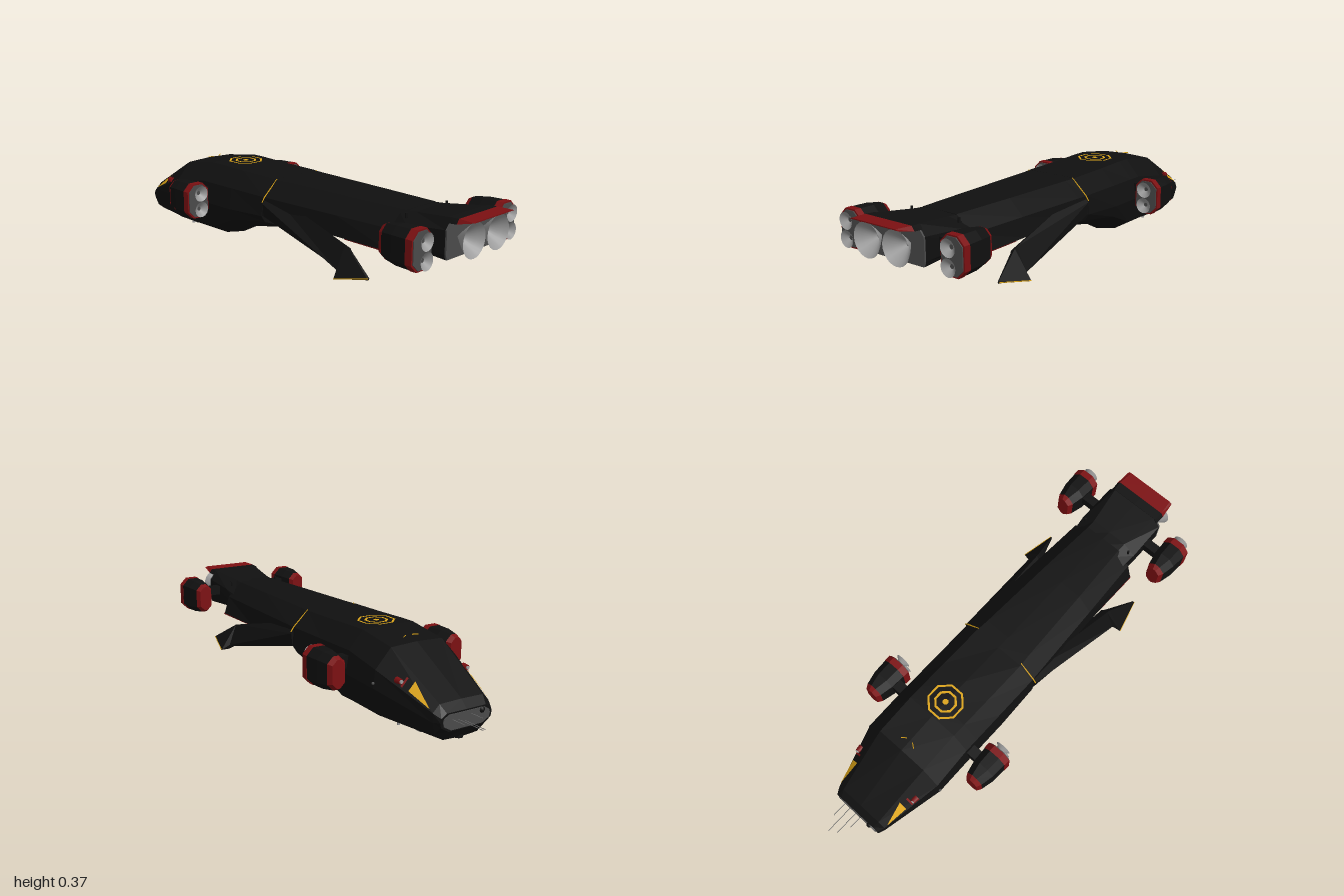
import * as THREE from 'three';

const V = (x, y, z) => new THREE.Vector3(x, y, z);
const mat = (name, color, double) => {
  const m = new THREE.MeshStandardMaterial({ color });
  m.name = name;
  if (double) m.side = THREE.DoubleSide;
  return m;
};

// Flat-faced skin through rings of points (clockwise seen from +z, z increasing)
function loft(rings, closed = true) {
  const p = [];
  const tri = (...v) => v.forEach(q => p.push(q.x, q.y, q.z));
  const n = rings[0].length;
  for (let i = 0; i < rings.length - 1; i++) {
    for (let j = 0; j < (closed ? n : n - 1); j++) {
      const k = (j + 1) % n, a = rings[i], b = rings[i + 1];
      tri(a[j], b[j], a[k]);
      tri(a[k], b[j], b[k]);
    }
  }
  if (closed) {
    const a = rings[0], b = rings[rings.length - 1];
    for (let j = 1; j < n - 1; j++) {
      tri(a[0], a[j], a[j + 1]);
      tri(b[0], b[j + 1], b[j]);
    }
  }
  const g = new THREE.BufferGeometry();
  g.setAttribute('position', new THREE.Float32BufferAttribute(p, 3));
  g.computeVertexNormals();
  return g;
}

// Full symmetric ring from a right half, listed from top centre to bottom centre
function ring(z, half) {
  const left = half.slice(1, -1).reverse().map(([x, y]) => [-x, y]);
  return [...half, ...left].map(([x, y]) => V(x, y, z));
}

const octagon = (z, w, h, c) => ring(z, [[0, h], [w - c, h], [w, h - c], [w, c - h], [w - c, -h], [0, -h]]);

export function createModel() {
  const ship = new THREE.Group();
  const black = mat('hullBlack', 0x101010);
  const red = mat('trimRed', 0x7c1012, true);
  const yellow = mat('markingYellow', 0xdca416, true);
  const steel = mat('nozzleSteel', 0x9a9a9a, true);
  const grey = mat('plateGrey', 0x4a4a4a);
  const bayGrey = mat('bayGrey', 0x777777, true);

  const add = (name, geo, m, parent = ship, x = 0, y = 0, z = 0) => {
    const mesh = new THREE.Mesh(geo, m);
    mesh.name = name;
    mesh.position.set(x, y, z);
    parent.add(mesh);
    return mesh;
  };
  const bar = (name, a, b, r, m) =>
    add(name, new THREE.TubeGeometry(new THREE.LineCurve3(a, b), 1, r, 4), m);
  const panel = (name, pts, m) => {
    const half = pts.length === 3 ? [pts[0], pts[1], pts[2], pts[2]] : pts;
    return add(name, loft([[half[0], half[1]], [half[3], half[2]]], false), m);
  };
  const bell = (r, depth) => {
    const pts = [[0.004, 0], [r * 0.35, depth * 0.28], [r * 0.75, depth * 0.7], [r, depth]];
    return new THREE.LatheGeometry(pts.map(q => new THREE.Vector2(...q)), 24).rotateX(Math.PI / 2);
  };

  // Forward hull
  const snout = [[0, 0.18], [0.1, 0.178], [0.13, 0.15], [0.13, 0.115], [0.12, 0.07], [0.08, 0.04], [0, 0.035]];
  const brow = [[0, 0.33], [0.12, 0.325], [0.19, 0.25], [0.2, 0.18], [0.17, 0.07], [0.1, 0.035], [0, 0.018]];
  const mid = [[0, 0.355], [0.12, 0.352], [0.185, 0.28], [0.2, 0.19], [0.175, 0.08], [0.1, 0.035], [0, 0.018]];
  const nose = [[0, 0.15], [0.09, 0.15], [0.115, 0.135], [0.12, 0.12], [0.115, 0.1], [0.08, 0.08], [0, 0.08]];
  add('forwardHull', loft([
    ring(-0.87, nose), ring(-0.84, snout), ring(-0.58, brow), ring(-0.4, mid), ring(-0.34, mid),
    ring(-0.2, [[0, 0.352], [0.12, 0.348], [0.185, 0.28], [0.2, 0.19], [0.185, 0.14], [0.12, 0.1], [0, 0.1]]),
    ring(0, [[0, 0.345], [0.12, 0.345], [0.185, 0.28], [0.195, 0.2], [0.175, 0.17], [0.06, 0.125], [0, 0.125]]),
  ]), black);
  add('nosePlate', loft([-0.874, -0.87].map(z => ring(z, nose.map(([x, y]) => [x * 0.9, 0.115 + (y - 0.115) * 0.85])))), grey);

  // Rear hull with an open bay beneath
  const rear = (z, top, side, low) =>
    ring(z, [[0, 0.345], [top, 0.344], [side, 0.28], [low, 0.2], [low - 0.024, 0.2], [0.065, 0.25], [0, 0.25]]);
  add('rearHull', loft([rear(0, 0.12, 0.185, 0.192), rear(0.06, 0.115, 0.182, 0.186),
    rear(0.4, 0.1, 0.165, 0.175), rear(0.68, 0.085, 0.15, 0.175)]), black);
  const liner = (z, w) => [V(w, 0.197, z), V(0.065, 0.247, z), V(-0.065, 0.247, z), V(-w, 0.197, z)];
  add('bayLining', loft([liner(0.005, 0.166), liner(0.4, 0.151), liner(0.675, 0.151)], false), bayGrey);

  // Tail block, engine plate and hood
  const tailEnd = [[0, 0.366], [0.11, 0.366], [0.14, 0.325], [0.14, 0.27], [0.14, 0.235], [0.135, 0.215], [0, 0.215]];
  add('tailBlock', loft([
    ring(0.64, [[0, 0.342], [0.085, 0.338], [0.135, 0.29], [0.14, 0.27], [0.14, 0.255], [0.1, 0.245], [0, 0.245]]),
    ring(0.72, [[0, 0.347], [0.085, 0.346], [0.143, 0.31], [0.145, 0.27], [0.143, 0.24], [0.12, 0.22], [0, 0.22]]),
    ring(0.895, tailEnd)]), black);
  add('enginePlate', loft([0.895, 0.902].map(z => ring(z, tailEnd.map(([x, y]) => [x, Math.min(y, 0.362)])))), grey);
  const hood = (z, w, y, t) => ring(z, [[0, y], [w - 0.012, y], [w, y - t], [0, y - t]]);
  add('hoodBase', loft([hood(0.89, 0.125, 0.367, 0.02), hood(0.932, 0.128, 0.369, 0.018)]), black);
  add('redHood', loft([hood(0.932, 0.128, 0.3695, 0.018), hood(1, 0.12, 0.372, 0.004)]), red);

  // Landing mark on the roof
  for (const [r0, r1] of [[0.069, 0.078], [0.039, 0.049], [0, 0.013]]) {
    const g = new THREE.RingGeometry(r0, r1, 8, 1, Math.PI / 8).rotateX(-Math.PI / 2);
    add('landingMark', g, yellow, ship, 0, 0.358, -0.32);
  }

  // Engine pod: tapered octagon with red rims and two stacked nozzles
  function pod(name, x, y, z) {
    const g = new THREE.Group();
    g.name = name;
    g.position.set(x, y, z);
    ship.add(g);
    add('podBody', loft([octagon(-0.075, 0.038, 0.066, 0.026), octagon(-0.02, 0.05, 0.073, 0.028),
      octagon(0.06, 0.054, 0.075, 0.03)]), black, g);
    add('podNoseTrim', loft([octagon(-0.095, 0.027, 0.056, 0.02), octagon(-0.075, 0.0385, 0.0665, 0.026)]), red, g);
    add('podRearTrim', loft([octagon(0.045, 0.055, 0.076, 0.03), octagon(0.074, 0.055, 0.076, 0.03)]), red, g);
    add('podRearPlate', loft([octagon(0.072, 0.049, 0.07, 0.028), octagon(0.078, 0.049, 0.07, 0.028)]), grey, g);
    for (const s of [-1, 1]) add('podNozzle', bell(0.034, 0.024), steel, g, 0, s * 0.035, 0.074);
  }

  // Point on the sloping cheek of the nose: u runs back, v runs outward
  const cheek = (s, u, v) => {
    const mix = (a, b, t) => a + (b - a) * t;
    const at = c => mix(mix(snout[1][c], snout[2][c], v), mix(brow[1][c], brow[2][c], v), u);
    return V(s * (at(0) + 0.003), at(1) + 0.003, mix(-0.84, -0.58, u));
  };

  for (const s of [-1, 1]) {
    const P = (x, y, z) => V(s * x, y, z);

    add('mainNozzle', bell(0.067, 0.068), steel, ship, s * 0.073, 0.29, 0.902);
    add('nozzleCore', new THREE.SphereGeometry(0.007, 10, 8), steel, ship, s * 0.073, 0.29, 0.91);
    pod('rearPod', s * 0.255, 0.276, 0.81);
    pod('frontPod', s * 0.283, 0.222, -0.385);
    add('rearPylon', new THREE.BoxGeometry(0.1, 0.04, 0.04), black, ship, s * 0.18, 0.29, 0.81);
    add('frontPylon', new THREE.BoxGeometry(0.08, 0.05, 0.045), black, ship, s * 0.215, 0.235, -0.38);

    // Swept, drooping wing with a barbed tip
    const rings = [
      [[0.15, 0.3], [0.198, 0.255], [0.192, 0.2], [0.14, 0.22]],
      [[0.205, 0.192], [0.25, 0.1], [0.225, 0.092], [0.175, 0.17]],
      [[0.207, 0.188], [0.285, 0.078], [0.245, 0.078], [0.185, 0.165]],
      [[0.244, 0.108], [0.25, 0.104], [0.245, 0.1], [0.24, 0.105]],
    ].map((r, i) => {
      const pts = r.map(([x, y]) => P(x, y, [0.01, 0.485, 0.5, 0.64][i]));
      return s < 0 ? pts.reverse() : pts;
    });
    add('wing', loft(rings), black);
    bar('wingTipLine', P(0.285, 0.079, 0.5), P(0.248, 0.105, 0.64), 0.002, yellow);
    bar('wingTipLine', P(0.245, 0.079, 0.5), P(0.246, 0.102, 0.64), 0.0015, yellow);

    // Painted trim
    bar('shoulderLine', P(0.115, 0.346, 0.01), P(0.186, 0.281, 0.01), 0.003, yellow);
    bar('shoulderLine', P(0.186, 0.281, 0.01), P(0.199, 0.262, 0.01), 0.003, yellow);
    bar('bayEdgeTrim', P(0.172, 0.199, 0.45), P(0.174, 0.199, 0.68), 0.003, red);
    panel('rearCornerTrim', [P(0.137, 0.24, 0.7), P(0.152, 0.24, 0.683), P(0.177, 0.197, 0.683), P(0.162, 0.19, 0.69)], red);
    panel('noseWindow', [cheek(s, 0.05, 0.9), cheek(s, 0.43, 0.2), cheek(s, 0.43, 0.85)], yellow);
    panel('noseMark', [cheek(s, 0.53, 0.35), cheek(s, 0.56, 0.35), cheek(s, 0.56, 0.9), cheek(s, 0.53, 0.9)], red);
    bar('roofMark', P(0.015, 0.343, -0.53), P(0.035, 0.344, -0.545), 0.002, yellow);
    bar('bayDoorLine', P(0.16, 0.198, 0.02), P(0.15, 0.198, 0.42), 0.0015, yellow);

    // Small thrusters beside the cockpit
    const c = cheek(s, 0.62, 0.75);
    add('cheekThruster', new THREE.CylinderGeometry(0.01, 0.013, 0.025, 10).rotateX(-Math.PI / 2), red, ship, c.x, c.y, c.z);
    add('cheekThrusterTip', new THREE.CylinderGeometry(0.007, 0.007, 0.006, 10).rotateX(Math.PI / 2), steel, ship, c.x, c.y, c.z - 0.014);
    add('hullStud', new THREE.SphereGeometry(0.006, 8, 6), grey, ship, s * 0.2, 0.2, -0.58);
    add('tailStud', new THREE.CylinderGeometry(0.005, 0.005, 0.02, 8), black, ship, s * 0.12, 0.335, 0.705);

    // Belly lamps and landing frame
    add('bellyLamp', new THREE.CapsuleGeometry(0.015, 0.022, 4, 12).rotateX(Math.PI / 2), steel, ship, s * 0.032, 0.016, -0.65);
    add('bellyPost', new THREE.CylinderGeometry(0.006, 0.006, 0.022, 8), steel, ship, s * 0.093, 0.034, -0.6);
    bar('bellyFrame', P(0.08, 0.035, -0.73), P(0.08, 0.029, -0.56), 0.002, yellow);
    for (const [z, y] of [[-0.73, 0.026], [-0.56, 0.016]])
      bar('bellyFrame', P(0, y, z), P(0.08, y + 0.011, z), 0.002, yellow);
  }

  // Chin turret, belly dome and antennas
  add('chinTurret', new THREE.CylinderGeometry(0.02, 0.018, 0.045, 12), black, ship, 0, 0.055, -0.83);
  add('bellyDome', new THREE.SphereGeometry(0.022, 14, 10).scale(1, 0.5, 1), red, ship, 0, 0.03, -0.77);
  add('noseSensor', new THREE.SphereGeometry(0.014, 10, 8), black, ship, -0.07, 0.135, -0.868);
  for (const [x, y, z] of [[-0.02, 0.13, -0.93], [0.01, 0.11, -0.98], [0.04, 0.12, -1], [0.068, 0.125, -0.94]])
    bar('antenna', V(x, y, -0.865), V(x, y, z), 0.0015, bayGrey);

  return ship;
}
